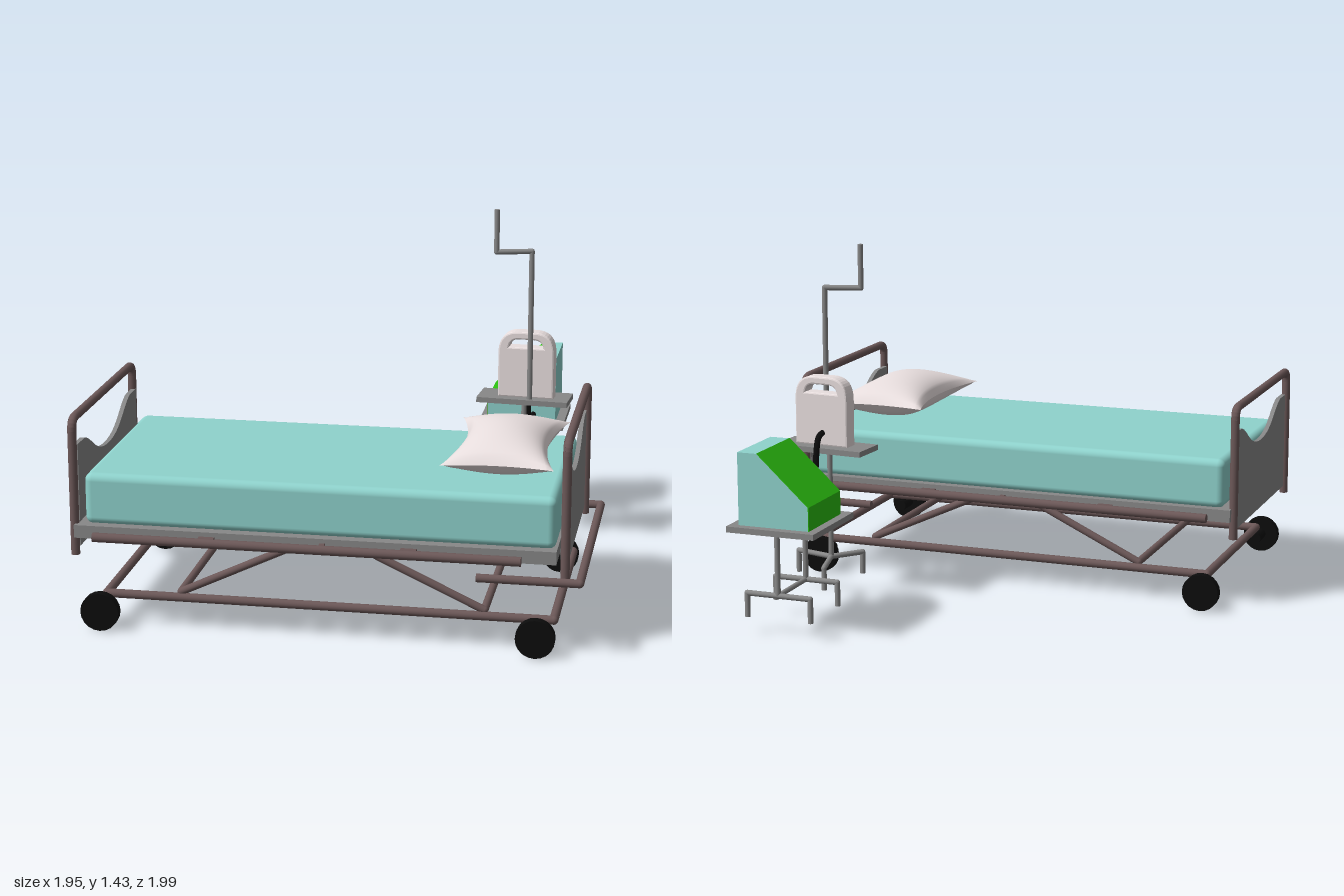
import * as THREE from 'three';
import { mergeGeometries } from 'three/addons/utils/BufferGeometryUtils.js';
import { RoundedBoxGeometry } from 'three/addons/geometries/RoundedBoxGeometry.js';

const mat = (color, side = THREE.FrontSide) => new THREE.MeshStandardMaterial({ color, side });
const BROWN = mat(0x6c5858), TEAL = mat(0x8fd3cd), GREEN = mat(0x2bbf10), GREY = mat(0x888888);
const WHITE = mat(0xe9dfdf), BLACK = mat(0x0c0c0c);
const V = (p) => new THREE.Vector3(...p);

function add(parent, name, geo, material, pos = [0, 0, 0]) {
  const m = new THREE.Mesh(geo, material);
  m.name = name;
  m.position.set(...pos);
  parent.add(m);
  return m;
}

// box given by its x, y and z ranges
function block(parent, name, material, x, y, z) {
  const geo = new THREE.BoxGeometry(x[1] - x[0], y[1] - y[0], z[1] - z[0]);
  return add(parent, name, geo, material, [x, y, z].map((r) => (r[0] + r[1]) / 2));
}

// round pipe through points, with optional rounded bends
function pipe(parent, name, material, points, r, bend = 0) {
  let pts = points.map(V);
  if (bend) {
    pts = pts.flatMap((p, i) => {
      if (i === 0 || i === pts.length - 1) return [p];
      const a = p.clone().add(pts[i - 1].clone().sub(p).setLength(bend));
      const b = p.clone().add(pts[i + 1].clone().sub(p).setLength(bend));
      return new THREE.QuadraticBezierCurve3(a, p, b).getPoints(6);
    });
  }
  const parts = [];
  const up = new THREE.Vector3(0, 1, 0);
  pts.forEach((p, i) => {
    if (i > 0 && i < pts.length - 1) parts.push(new THREE.SphereGeometry(r, 14, 10).translate(p.x, p.y, p.z));
    if (i === 0) return;
    const d = p.clone().sub(pts[i - 1]);
    const c = p.clone().add(pts[i - 1]).multiplyScalar(0.5);
    const seg = new THREE.CylinderGeometry(r, r, d.length(), 14);
    seg.applyQuaternion(new THREE.Quaternion().setFromUnitVectors(up, d.normalize()));
    parts.push(seg.translate(c.x, c.y, c.z));
  });
  return add(parent, name, mergeGeometries(parts), material);
}

// plump cushion with pinched corners, from a deformed grid on each side
function pillowGeometry() {
  const sides = [1, -1].map((s) => {
    const g = new THREE.PlaneGeometry(2, 2, 28, 28).rotateX(s > 0 ? -Math.PI / 2 : Math.PI / 2);
    const p = g.attributes.position;
    for (let i = 0; i < p.count; i++) {
      const u = p.getX(i), v = p.getZ(i);
      const fu = Math.max(0, 1 - u * u), fv = Math.max(0, 1 - v * v);
      p.setXYZ(i, 0.212 * u * (1 - 0.25 * fv), s * 0.085 * Math.pow(fu * fv, 0.55), 0.335 * v * (1 - 0.09 * fu));
    }
    g.computeVertexNormals();
    return g;
  });
  return mergeGeometries(sides);
}

function makeBed() {
  const bed = new THREE.Group();
  bed.name = 'bed';
  block(bed, 'bedBase', GREY, [-0.955, 0.87], [0.355, 0.405], [0.025, 0.935]);
  add(bed, 'mattress', new RoundedBoxGeometry(1.785, 0.2, 0.855, 4, 0.03), TEAL, [-0.028, 0.5, 0.478]);
  add(bed, 'pillow', pillowGeometry(), WHITE, [0.633, 0.683, 0.503]);

  // end boards: bent pipe with a scooped panel
  const panel = new THREE.Shape();
  panel.moveTo(0.07, 0.31);
  panel.lineTo(0.89, 0.31);
  panel.lineTo(0.89, 0.71);
  panel.lineTo(0.8, 0.71);
  panel.bezierCurveTo(0.7, 0.69, 0.66, 0.6, 0.48, 0.6);
  panel.bezierCurveTo(0.3, 0.6, 0.26, 0.69, 0.16, 0.71);
  panel.lineTo(0.07, 0.71);
  for (const [name, x, px] of [['head', 0.9, 0.89], ['foot', -0.96, -0.952]]) {
    pipe(bed, name + 'Frame', BROWN,
      [[x, 0.28, 0.063], [x, 0.81, 0.063], [x, 0.81, 0.903], [x, 0.28, 0.903]], 0.017, 0.045);
    const g = new THREE.ExtrudeGeometry(panel, { depth: 0.018, bevelEnabled: false, curveSegments: 14 });
    add(bed, name + 'Panel', g.rotateY(-Math.PI / 2), GREY, [px + 0.009, 0, 0]);
  }

  // pull-out bar under the head end
  pipe(bed, 'headExtension', BROWN,
    [[0.58, 0.3, 0.008], [0.96, 0.3, 0.008], [0.96, 0.3, 0.965], [0.58, 0.3, 0.965]], 0.016);

  // lower chassis
  const c = [[-0.85, 0.12, 0.08], [0.86, 0.12, 0.08], [0.86, 0.12, 0.875], [-0.85, 0.12, 0.875]];
  pipe(bed, 'chassis', BROWN, [...c, c[0], c[1]], 0.017);

  for (const s of [-1, 1]) {
    const z = 0.48 + s * 0.495;
    pipe(bed, 'sideRail', BROWN, [[-0.87, 0.375, z], [0.745, 0.375, z]], 0.018);
    for (const [x, w] of [[-0.44, 0.06], [0, 0.02], [0.325, 0.06]]) {
      const zs = [0.48 + s * 0.44, z].sort((a, b) => a - b);
      block(bed, 'railBracket', BROWN, [x - w / 2, x + w / 2], [0.362, 0.388], zs);
    }
    // wheels on short axles
    for (const x of [-0.855, 0.8]) {
      const wheel = new THREE.CylinderGeometry(0.074, 0.074, 0.036, 20).rotateX(Math.PI / 2);
      add(bed, 'wheel', wheel, BLACK, [x, 0.074, 0.467 + s * 0.486]);
      const axle = new THREE.CylinderGeometry(0.023, 0.023, 0.1, 14).rotateX(Math.PI / 2);
      add(bed, 'axle', axle, BLACK, [x, 0.078, 0.472 + s * 0.425]);
    }
  }

  // sloping lift frames, each a loop of two legs and two cross bars
  for (const [low, high] of [[-0.56, -0.12], [0.6, 0.15]]) {
    const l = [[low, 0.14, 0.095], [high, 0.348, 0.095], [high, 0.348, 0.865], [low, 0.14, 0.865]];
    pipe(bed, 'liftFrame', BROWN, [...l, l[0], l[1]], 0.015);
  }
  return bed;
}

function makeMonitorStand() {
  const stand = new THREE.Group();
  stand.name = 'monitorStand';
  const plate = block(stand, 'shelf', GREY, [0.415, 0.795], [0.615, 0.637], [-0.45, -0.295]);
  plate.rotation.y = -0.08;

  // upright with three footed arms
  const [x, z] = [0.605, -0.345];
  pipe(stand, 'post', GREY, [[x, 0.165, z], [x, 0.62, z]], 0.011);
  for (const [fx, fz] of [[0.515, -0.235], [0.56, -0.515], [0.77, -0.3]]) {
    pipe(stand, 'footArm', GREY, [[x, 0.165, z], [fx, 0.165, fz], [fx, 0.075, fz]], 0.011);
  }
  pipe(stand, 'dripPole', GREY,
    [[0.63, 0.62, -0.315], [0.63, 1.26, -0.315], [0.49, 1.26, -0.277], [0.49, 1.435, -0.277]], 0.011);

  // pump case with a carrying slot
  const s = new THREE.Shape();
  s.moveTo(-0.11, 0);
  s.lineTo(0.11, 0);
  s.lineTo(0.11, 0.18);
  s.quadraticCurveTo(0.11, 0.265, 0.035, 0.265);
  s.lineTo(-0.035, 0.265);
  s.quadraticCurveTo(-0.11, 0.265, -0.11, 0.18);
  const slot = new THREE.Path();
  slot.moveTo(-0.08, 0.2);
  slot.quadraticCurveTo(-0.075, 0.247, -0.03, 0.247);
  slot.lineTo(0.03, 0.247);
  slot.quadraticCurveTo(0.075, 0.247, 0.08, 0.2);
  s.holes.push(slot);
  const g = new THREE.ExtrudeGeometry(s, {
    depth: 0.052, bevelThickness: 0.007, bevelSize: 0.007, bevelSegments: 2, curveSegments: 10,
  }).translate(0, 0, -0.026);
  add(stand, 'pumpCase', g, WHITE, [0.613, 0.642, -0.368]).rotation.y = -0.08;
  return stand;
}

function makeConsoleTable() {
  const table = new THREE.Group();
  table.name = 'consoleTable';
  block(table, 'tableTop', GREY, [0.378, 0.742], [0.415, 0.438], [-1, -0.63]);
  for (const z of [-0.685, -0.935]) {
    pipe(table, 'tablePost', GREY, [[0.56, 0.165, z], [0.56, 0.42, z]], 0.011);
    pipe(table, 'tableFeet', GREY,
      [[0.425, 0.07, z], [0.425, 0.165, z], [0.69, 0.165, z], [0.69, 0.07, z]], 0.011);
  }
  pipe(table, 'stretcher', GREY, [[0.56, 0.165, -0.685], [0.56, 0.165, -0.935]], 0.01);

  // console with a sloping screen face
  const s = new THREE.Shape();
  [[0.415, 0.438], [0.705, 0.438], [0.705, 0.722], [0.625, 0.722], [0.415, 0.53]]
    .forEach(([x, y], i) => (i ? s.lineTo(x, y) : s.moveTo(x, y)));
  const g = new THREE.ExtrudeGeometry(s, { depth: 0.29, bevelEnabled: false });
  add(table, 'console', g, TEAL, [0, 0, -0.965]);
  const face = new THREE.Shape();
  [[0.415, 0.438], [0.415, 0.53], [0.625, 0.722], [0.623, 0.724], [0.412, 0.531], [0.412, 0.438]]
    .forEach(([x, y], i) => (i ? face.lineTo(x, y) : face.moveTo(x, y)));
  add(table, 'screen', new THREE.ExtrudeGeometry(face, { depth: 0.29, bevelEnabled: false }), GREEN, [0, 0, -0.965]);
  return table;
}

export function createModel() {
  const model = new THREE.Group();
  model.name = 'hospitalBed';
  model.add(makeBed(), makeMonitorStand(), makeConsoleTable());

  // hose from the pump down and over to the console
  const path = [[0.69, -0.39], [0.675, -0.44], [0.57, -0.468], [0.45, -0.475], [0.395, -0.51],
    [0.415, -0.56], [0.465, -0.61], [0.472, -0.68]].map(([y, z]) => V([0.61, y, z]));
  add(model, 'hose', new THREE.TubeGeometry(new THREE.CatmullRomCurve3(path), 48, 0.012, 12), BLACK);
  return model;
}
